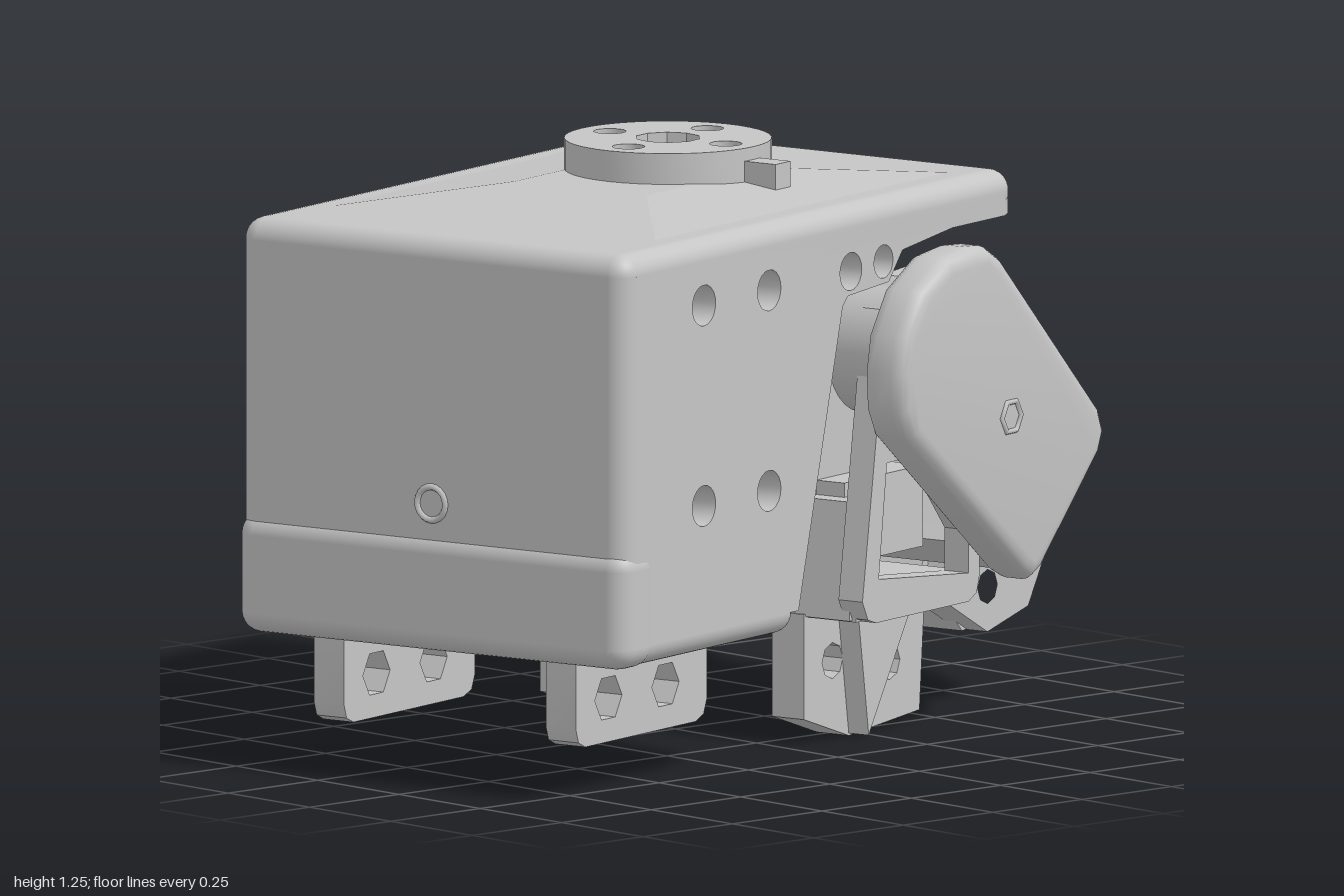
import * as THREE from 'three';
import { toCreasedNormals } from 'three/addons/utils/BufferGeometryUtils.js';
import { RoundedBoxGeometry } from 'three/addons/geometries/RoundedBoxGeometry.js';

const grey = new THREE.MeshStandardMaterial({ color: 0xc5c5c5 });
grey.name = 'grey plastic';

function add(parent, name, geometry, x = 0, y = 0, z = 0) {
  const mesh = new THREE.Mesh(geometry, grey);
  mesh.name = name;
  mesh.position.set(x, y, z);
  parent.add(mesh);
  return mesh;
}

// Side profile extruded across z, centred on z = 0; holes are [x, y, radius, sides]
function plate(points, thickness, bevel = 0, holes = []) {
  const shape = new THREE.Shape(points.map(([x, y]) => new THREE.Vector2(x, y)));
  for (const [x, y, r, n = 20] of holes) {
    const pts = [];
    for (let i = 0; i < n; i++) {
      const a = (-i / n) * Math.PI * 2;
      pts.push(new THREE.Vector2(x + r * Math.cos(a), y + r * Math.sin(a)));
    }
    shape.holes.push(new THREE.Path(pts));
  }
  const geometry = new THREE.ExtrudeGeometry(shape, {
    depth: thickness - 2 * bevel, bevelEnabled: bevel > 0,
    bevelSize: bevel, bevelThickness: bevel, bevelOffset: -bevel, bevelSegments: 4,
  });
  geometry.translate(0, 0, bevel - thickness / 2);
  return toCreasedNormals(geometry, 0.6);
}

// Box given by its limits on each axis
function block(parent, name, [x0, x1], [y0, y1], [z0, z1], radius = 0) {
  const size = [x1 - x0, y1 - y0, z1 - z0];
  const geometry = radius ? new RoundedBoxGeometry(...size, 4, radius) : new THREE.BoxGeometry(...size);
  return add(parent, name, geometry, (x0 + x1) / 2, (y0 + y1) / 2, (z0 + z1) / 2);
}

// Same part on both sides
function pair(parent, name, geometry, z) {
  for (const s of [1, -1]) add(parent, name + (s > 0 ? 'Left' : 'Right'), geometry, 0, 0, s * z);
}

function buildBody() {
  const body = new THREE.Group();
  body.name = 'bodyShell';

  // Side walls with the slanted front edge and screw holes
  const wall = plate(
    [[-0.875, 0.335], [-0.282, 0.335], [-0.12, 0.95], [-0.1, 0.97],
      [0.05, 0.98], [0.1, 1.04], [0.3, 1.064], [0.3, 1.112], [-0.875, 1.112]],
    0.08, 0,
    [[-0.63, 1.02, 0.043], [-0.39, 1.02, 0.043], [-0.09, 1.02, 0.04], [0.03, 1.025, 0.035],
      [-0.63, 0.6, 0.043], [-0.39, 0.6, 0.043]]);
  pair(body, 'sideWall', wall, 0.445);

  // Rounded back, floor and back bulge
  block(body, 'backWall', [-0.92, -0.82], [0.29, 1.154], [-0.485, 0.485], 0.045);
  block(body, 'floor', [-0.92, -0.28], [0.29, 0.38], [-0.485, 0.485], 0.044);
  block(body, 'backBulge', [-0.93, -0.8], [0.288, 0.54], [-0.488, 0.488], 0.045);
  const screwRing = new THREE.TorusGeometry(0.035, 0.007, 6, 20);
  add(body, 'backScrewRing', screwRing, -0.92, 0.6, 0).rotation.y = Math.PI / 2;

  // Lid: rounded above, square below, with a shallow rise towards the hub
  block(body, 'lid', [-0.92, 0.52], [1.062, 1.157], [-0.485, 0.485], 0.045);
  const skirt = plate(
    [[-0.88, -0.485], [0.475, -0.485], [0.507, -0.472], [0.52, -0.44],
      [0.52, 0.44], [0.507, 0.472], [0.475, 0.485], [-0.88, 0.485]], 0.05);
  add(body, 'lidSkirt', skirt, 0, 1.087, 0).rotation.x = -Math.PI / 2;
  const rise = new THREE.CylinderGeometry(0.27, 0.72, 0.035, 4, 1).toNonIndexed();
  rise.rotateY(Math.PI / 4);
  rise.scale(1.15, 1, 0.86);
  rise.computeVertexNormals();
  add(body, 'lidRise', rise, -0.15, 1.17, 0);

  // Turning hub: disc with a middle hole and four screw holes
  const screws = [0, 1, 2, 3].map((i) => [0.145 * Math.cos(i * Math.PI / 2), 0.145 * Math.sin(i * Math.PI / 2), 0.034, 14]);
  const disc = [];
  for (let i = 0; i < 40; i++) disc.push([0.215 * Math.cos(i * Math.PI / 20), 0.215 * Math.sin(i * Math.PI / 20)]);
  const hub = plate(disc, 0.1, 0, [[0, 0, 0.068, 10], ...screws]);
  add(body, 'hub', hub, -0.05, 1.202, 0).rotation.x = -Math.PI / 2;
  block(body, 'hubKey', [-0.08, -0.025], [1.15, 1.225], [0.2, 0.29]);

  // Motor inside the shell
  block(body, 'upperMotor', [-0.5, 0.28], [0.52, 1.07], [-0.32, 0.31]);
  block(body, 'motorFace', [0.28, 0.3], [0.73, 1.07], [-0.2, 0.2]);

  // Mounting lugs below the shell
  const lug = plate(
    [[-0.87, 0.3], [-0.87, 0.15], [-0.86, 0.12], [-0.835, 0.108], [-0.43, 0.108], [-0.4, 0.12], [-0.388, 0.15], [-0.388, 0.3]],
    0.075, 0, [[-0.75, 0.2, 0.05, 6], [-0.54, 0.2, 0.05, 6]]);
  pair(body, 'mountingLug', lug, 0.29);
  return body;
}

function buildFrame() {
  const frame = new THREE.Group();
  frame.name = 'innerFrame';

  // Side plates with a window, joined along the bottom
  const side = new THREE.Shape([[-0.02, 0.28], [0.01, 0.27], [0.35, 0.27], [0.38, 0.285], [0.39, 0.32], [0.39, 0.55],
    [0.36, 0.93], [0.28, 0.99], [0.12, 0.98], [0.05, 0.92], [-0.04, 0.32]].map((p) => new THREE.Vector2(...p)));
  side.holes.push(new THREE.Path([[0.02, 0.36], [0.05, 0.6], [0.2, 0.6], [0.35, 0.42], [0.35, 0.33]]
    .map((p) => new THREE.Vector2(...p))));
  const geometry = new THREE.ExtrudeGeometry(side, { depth: 0.06, bevelEnabled: false });
  geometry.translate(0, 0, -0.03);
  pair(frame, 'framePlate', geometry, 0.45);
  add(frame, 'frameBackWall', plate([[-0.03, 0.275], [0.04, 0.275], [0.06, 0.52], [-0.005, 0.52]], 0.88));
  block(frame, 'frameFloor', [-0.02, 0.38], [0.272, 0.33], [-0.45, 0.45]);
  block(frame, 'lowerMotor', [0.04, 0.33], [0.38, 0.55], [-0.38, 0.38]);

  // Feet under the frame
  const foot = plate(
    [[-0.035, 0.28], [-0.035, 0.06], [0.13, 0.005], [0.39, 0.025], [0.41, 0.28]],
    0.08, 0, [[0.07, 0.17, 0.038, 8], [0.28, 0.14, 0.038, 8]]);
  pair(frame, 'foot', foot, 0.29);
  const gusset = plate([[0.09, 0.28], [0.13, 0.01], [0.3, 0.28]], 0.05);
  pair(frame, 'footGusset', gusset, 0.355);
  block(frame, 'footBase', [0.12, 0.4], [0.24, 0.28], [-0.34, 0.34]);
  return frame;
}

function buildSwingArm() {
  const arm = new THREE.Group();
  arm.name = 'swingArm';

  // Rounded side covers with a hexagonal screw
  const cover = plate(
    [[-0.03, 0.72], [-0.035, 0.8], [-0.02, 0.88], [0.04, 0.97], [0.14, 1.025], [0.23, 1.035], [0.29, 1.03],
      [0.34, 1.0], [0.7, 0.64], [0.72, 0.59], [0.7, 0.54], [0.49, 0.33], [0.45, 0.31], [0.41, 0.33], [0, 0.66]],
    0.11, 0.035);
  pair(arm, 'armCover', cover, 0.525);
  const screw = new THREE.TorusGeometry(0.035, 0.007, 6, 6);
  const pivot = new THREE.CylinderGeometry(0.15, 0.15, 0.12, 32).rotateX(Math.PI / 2);
  pair(arm, 'armScrew', screw.translate(0.36, 0.665, 0), 0.579);
  pair(arm, 'pivotDisc', pivot.translate(0.17, 0.83, 0), 0.41);

  // Cross web joining both covers, with filled inner corners
  add(arm, 'crossWeb', plate(
    [[0.6, 0.735], [0.695, 0.64], [0.71, 0.59], [0.69, 0.54], [0.48, 0.33], [0.43, 0.33], [0.36, 0.39], [0.58, 0.63]], 1.1));
  const fillet = plate([[0.42, 0.915], [0.6, 0.735], [0.53, 0.67], [0.4, 0.8]], 0.12);
  pair(arm, 'webFillet', fillet, 0.47);

  // Bracket on the web: base plate, flange and pointed lugs
  add(arm, 'bracketBase', plate(
    [[0.69, 0.645], [0.81, 0.57], [0.62, 0.27], [0.7, 0.165], [0.62, 0.155], [0.47, 0.31]], 0.56));
  const lug = plate(
    [[0.73, 0.65], [0.83, 0.645], [0.95, 0.45], [0.79, 0.19], [0.64, 0.155], [0.48, 0.24], [0.5, 0.34], [0.69, 0.58]],
    0.08, 0, [[0.79, 0.45, 0.036, 8], [0.64, 0.25, 0.036, 8]]);
  pair(arm, 'bracketLug', lug, 0.29);
  const rib = plate([[0.69, 0.64], [0.84, 0.57], [0.7, 0.4], [0.55, 0.4]], 0.06);
  pair(arm, 'bracketRib', rib, 0.355);
  return arm;
}

export function createModel() {
  const model = new THREE.Group();
  model.name = 'legJoint';
  const turned = new THREE.Group();
  turned.name = 'jointAssembly';
  turned.rotation.y = 0.235;
  turned.position.set(0.004, 0, 0.015);
  turned.add(buildBody(), buildFrame(), buildSwingArm());
  model.add(turned);
  return model;
}
